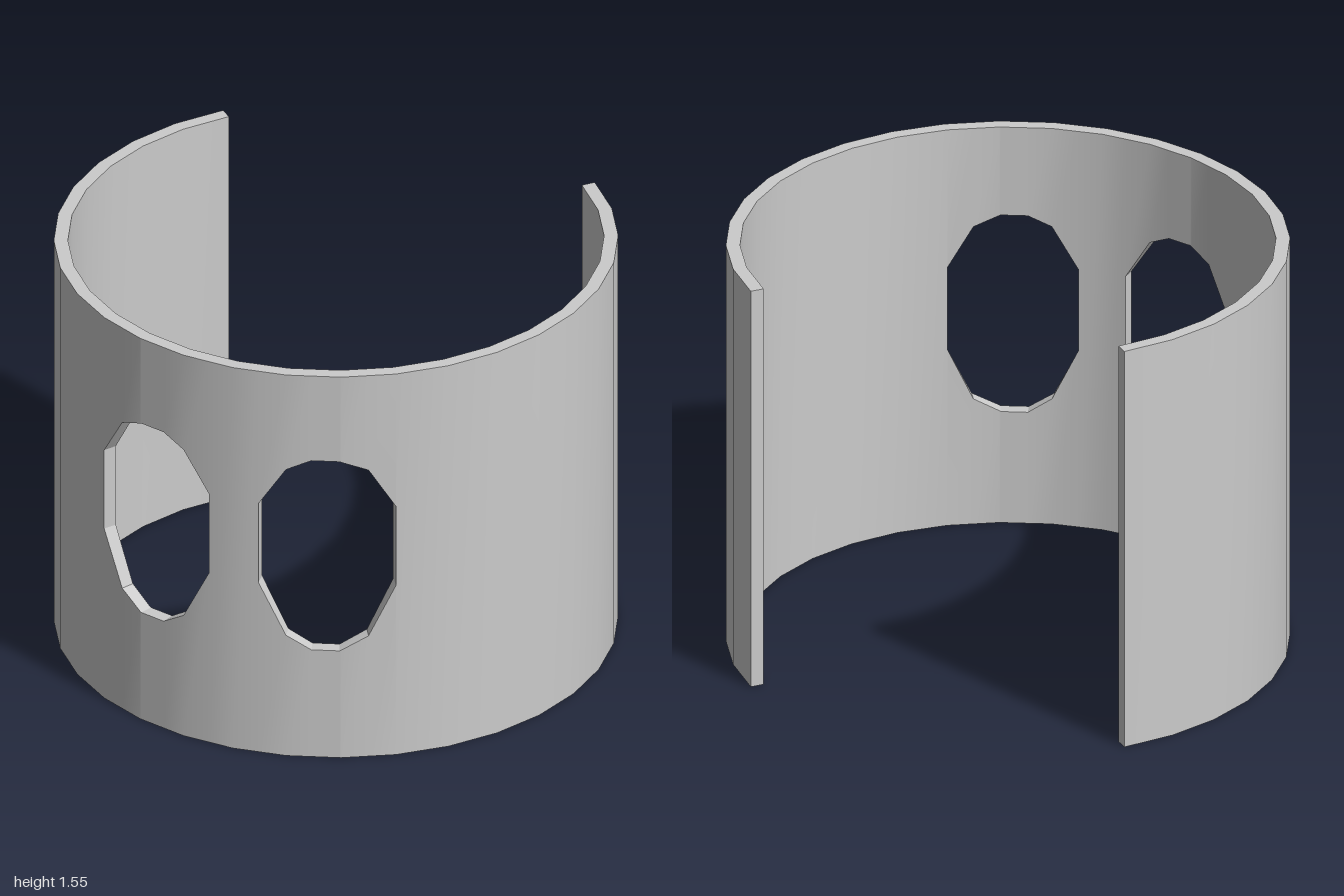
import * as THREE from 'three';
import { toCreasedNormals } from 'three/addons/utils/BufferGeometryUtils.js';

const HEIGHT = 1.55, OUTER = 1, INNER = 0.95, CENTRE_Z = -0.147;
const STEP = 11.25; // degrees per facet of the 32-sided band

// Hole outline by column: angle from the front, lower edge, upper edge
const HOLE = [
  [5.4, 0.69, 1.01], [11.25, 0.49, 1.165], [16.4, 0.435, 1.205],
  [22.2, 0.435, 1.205], [22.5, 0.438, 1.203], [28.1, 0.49, 1.165], [33.75, 0.69, 1.01],
];

// Point on a flat facet of the band
function point(deg, radius, y) {
  const rad = THREE.MathUtils.degToRad;
  const off = (Math.abs(deg) % STEP) - STEP / 2;
  const r = radius * Math.cos(rad(STEP / 2)) / Math.cos(rad(off));
  return [r * Math.sin(rad(deg)), y, r * Math.cos(rad(deg)) + CENTRE_Z];
}

function createBand() {
  const pos = [];
  const quad = (a, b, c, d) => pos.push(...a, ...b, ...c, ...a, ...c, ...d);

  // Columns: facet corners plus the hole corners on both sides
  const angles = new Set();
  for (let i = -12; i <= 12; i++) angles.add(i * STEP);
  for (const [a] of HOLE) angles.add(a).add(-a);
  const columns = [...angles].sort((a, b) => a - b);
  const edge = (deg) => HOLE.find(([a]) => a === Math.abs(deg));

  // Inner and outer skin of one piece, with its lower and upper rims
  const piece = (a, b, a0, b0, a1, b1) => {
    const o = (deg, y) => point(deg, OUTER, y), n = (deg, y) => point(deg, INNER, y);
    quad(o(a, a0), o(b, b0), o(b, b1), o(a, a1));
    quad(n(b, b0), n(a, a0), n(a, a1), n(b, b1));
    quad(o(a, a1), o(b, b1), n(b, b1), n(a, a1));
    quad(n(a, a0), n(b, b0), o(b, b0), o(a, a0));
  };
  // Upright wall through the thickness, facing +angle or -angle
  const wall = (deg, y0, y1, dir) => {
    const [r0, r1] = dir > 0 ? [OUTER, INNER] : [INNER, OUTER];
    quad(point(deg, r0, y0), point(deg, r1, y0), point(deg, r1, y1), point(deg, r0, y1));
  };

  for (let i = 0; i < columns.length - 1; i++) {
    const a = columns[i], b = columns[i + 1], ea = edge(a), eb = edge(b);
    if (ea && eb && a * b > 0) {
      piece(a, b, 0, 0, ea[1], eb[1]);
      piece(a, b, ea[2], eb[2], HEIGHT, HEIGHT);
    } else {
      piece(a, b, 0, 0, HEIGHT, HEIGHT);
    }
  }

  // Open ends at the back and the straight sides of both holes
  const near = HOLE[0], far = HOLE[HOLE.length - 1];
  for (const s of [-1, 1]) {
    wall(s * 12 * STEP, 0, HEIGHT, s);
    wall(s * near[0], near[1], near[2], s);
    wall(s * far[0], far[1], far[2], -s);
  }

  const geometry = new THREE.BufferGeometry();
  geometry.setAttribute('position', new THREE.Float32BufferAttribute(pos, 3));
  return toCreasedNormals(geometry, 0.4);
}

export function createModel() {
  const group = new THREE.Group();
  group.name = 'openBand';
  const band = new THREE.Mesh(createBand(), new THREE.MeshStandardMaterial({ color: 0xcccccc }));
  band.name = 'bandWithEyeHoles';
  group.add(band);
  return group;
}
